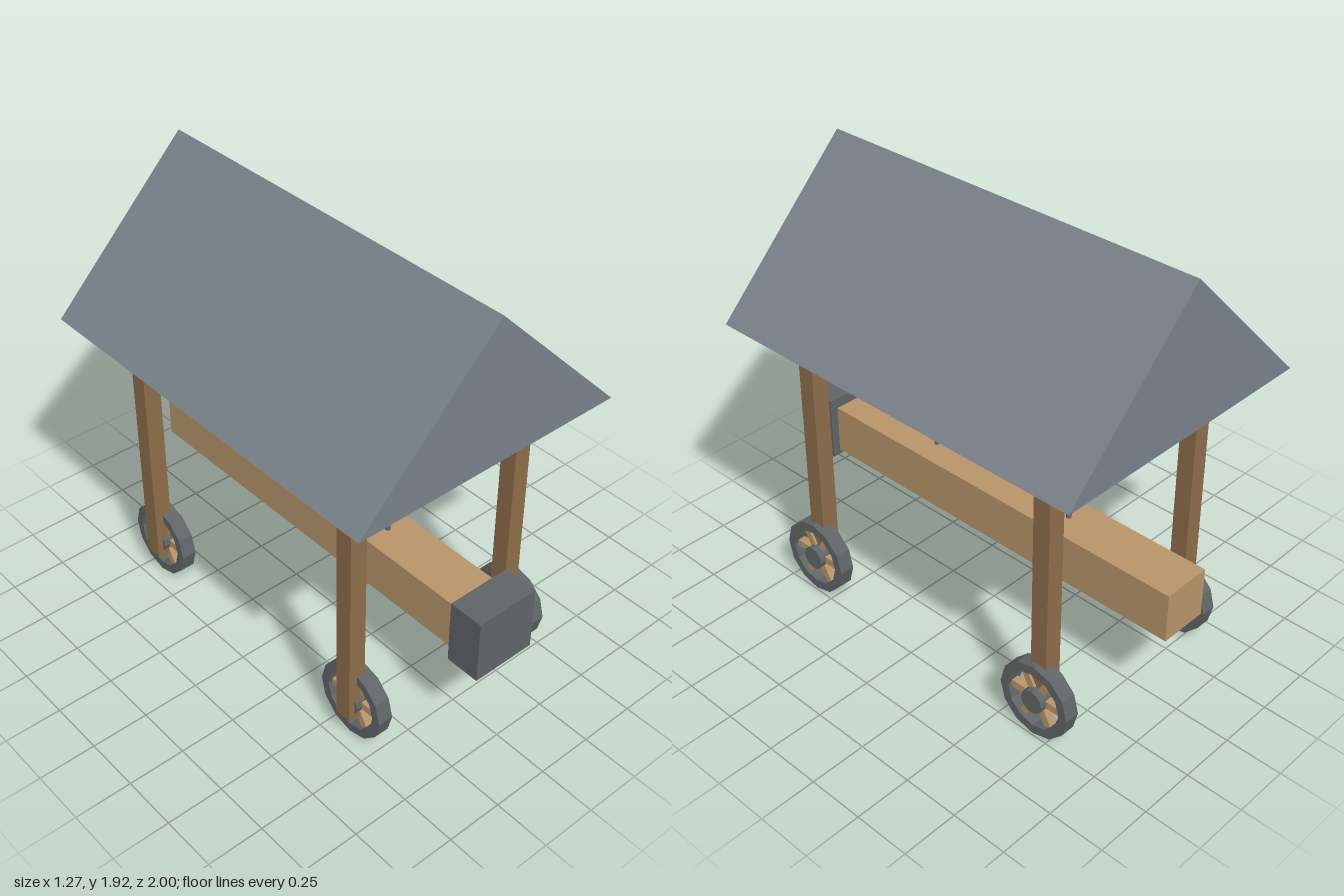
import * as THREE from 'three';

const paint = (color) => new THREE.MeshStandardMaterial({ color, flatShading: true });

export function createModel() {
  const model = new THREE.Group();
  model.name = 'coveredRam';
  const wood = paint(0xb8956a), darkWood = paint(0x8f6d4a);
  const metal = paint(0x5f6567), slate = paint(0x7a828a);

  const add = (parent, name, geometry, material, x = 0, y = 0, z = 0) => {
    const mesh = new THREE.Mesh(geometry, material);
    mesh.name = name;
    mesh.position.set(x, y, z);
    parent.add(mesh);
    return mesh;
  };

  // Solid gable roof
  const gable = new THREE.Shape([[-0.635, 1.285], [0.635, 1.285], [0, 1.92]].map(([x, y]) => new THREE.Vector2(x, y)));
  add(model, 'roof', new THREE.ExtrudeGeometry(gable, { depth: 1.81, bevelEnabled: false }), slate, 0, 0, -0.945);

  // Ram beam with its heavy head
  add(model, 'ramBeam', new THREE.BoxGeometry(0.22, 0.22, 1.845), wood, 0, 0.537, -0.0775);
  add(model, 'ramHead', new THREE.BoxGeometry(0.293, 0.29, 0.155), metal, 0, 0.55, 0.9225);

  // Rods hanging the beam from the roof
  for (const z of [0.335, -0.41]) {
    add(model, 'hangingRod', new THREE.CylinderGeometry(0.011, 0.011, 0.66, 8), metal, 0, 0.965, z);
  }

  // Wheel parts, with the axle along x
  const R = 0.171;
  const ringShape = new THREE.Shape();
  const ringHole = new THREE.Path();
  const ngon = (r) => Array.from({ length: 12 }, (_, i) =>
    new THREE.Vector2(r * Math.cos(i * Math.PI / 6), r * Math.sin(i * Math.PI / 6)));
  ringShape.setFromPoints(ngon(R));
  ringHole.setFromPoints(ngon(0.13).reverse());
  ringShape.holes.push(ringHole);
  const rim = new THREE.ExtrudeGeometry(ringShape, { depth: 0.068, bevelEnabled: false })
    .translate(0, 0, -0.034).rotateY(Math.PI / 2);
  const hub = new THREE.CylinderGeometry(0.053, 0.053, 0.09, 12).rotateZ(Math.PI / 2);
  const spoke = new THREE.BoxGeometry(0.034, 0.034, 0.28);

  const addWheel = (x, z) => {
    const wheel = new THREE.Group();
    wheel.name = 'wheel';
    wheel.position.set(x, R, z);
    add(wheel, 'rim', rim, metal);
    add(wheel, 'hub', hub, metal);
    for (let i = 0; i < 3; i++) add(wheel, 'spokePair', spoke, wood).rotation.x = i * Math.PI / 3;
    model.add(wheel);
  };

  // Four posts, each with a wheel shifted a little towards +x
  for (const x of [-0.428, 0.425]) {
    for (const z of [0.6, -0.675]) {
      add(model, 'post', new THREE.BoxGeometry(0.078, 1.18, 0.078), darkWood, x, 0.7, z);
      addWheel(x + 0.033, z);
    }
  }
  return model;
}
